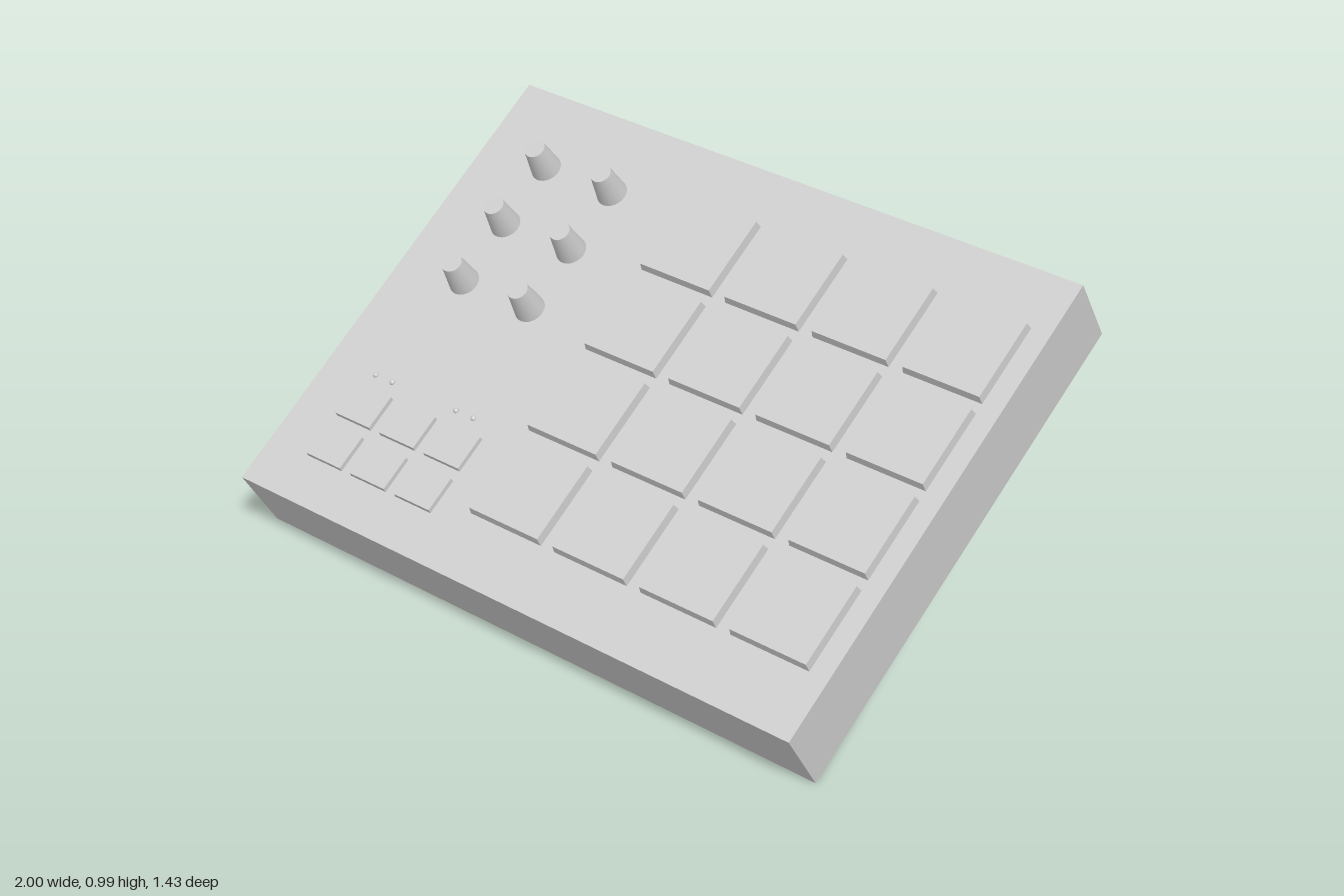
import * as THREE from 'three';

const TILT = 0.54, WIDTH = 2, DEPTH = 1.519, THICK = 0.244;
const SURFACE = THICK / 2;

// Box standing on y = 0 whose top face is drawn in a little on every side
function keyGeometry(w, h, d, inset) {
  const g = new THREE.BoxGeometry(w, h, d);
  g.translate(0, h / 2, 0);
  const p = g.attributes.position;
  for (let i = 0; i < p.count; i++) {
    if (p.getY(i) > h / 2) {
      p.setX(i, p.getX(i) - Math.sign(p.getX(i)) * inset);
      p.setZ(i, p.getZ(i) - Math.sign(p.getZ(i)) * inset);
    }
  }
  g.computeVertexNormals();
  return g;
}

export function createModel() {
  const model = new THREE.Group();
  model.name = 'padController';
  const grey = new THREE.MeshStandardMaterial({ color: 0xcccccc });
  grey.name = 'lightGrey';

  // Everything sits on one tilted slab
  const tilted = new THREE.Group();
  tilted.name = 'tiltedUnit';
  tilted.rotation.x = TILT;
  tilted.position.y = 0.4955;
  model.add(tilted);

  const add = (name, geometry, x, y, z) => {
    const mesh = new THREE.Mesh(geometry, grey);
    mesh.name = name;
    mesh.position.set(x, y, z);
    tilted.add(mesh);
  };

  add('body', new THREE.BoxGeometry(WIDTH, THICK, DEPTH), 0, 0, 0);

  // Four by four drum pads
  const pad = keyGeometry(0.26, 0.028, 0.262, 0.004);
  for (let row = 0; row < 4; row++) {
    for (let col = 0; col < 4; col++) {
      add('pad', pad, -0.117 + col * 0.308, SURFACE, -0.453 + row * 0.295);
    }
  }

  // Two columns of three tapered knobs
  const knob = new THREE.CylinderGeometry(0.032, 0.047, 0.1, 32);
  for (const x of [-0.754, -0.497]) {
    for (let row = 0; row < 3; row++) {
      add('knob', knob, x, SURFACE + 0.05, -0.517 + row * 0.22);
    }
  }

  // Two rows of three small buttons
  const button = keyGeometry(0.136, 0.014, 0.115, 0.001);
  for (let row = 0; row < 2; row++) {
    for (let col = 0; col < 3; col++) {
      add('button', button, -0.779 + col * 0.174, SURFACE, 0.408 + row * 0.148);
    }
  }

  // Indicator lights above the buttons
  const light = new THREE.SphereGeometry(0.009, 16, 10);
  for (const x of [-0.818, -0.751, -0.5, -0.433]) {
    add('indicatorLight', light, x, SURFACE, 0.303);
  }

  return model;
}
